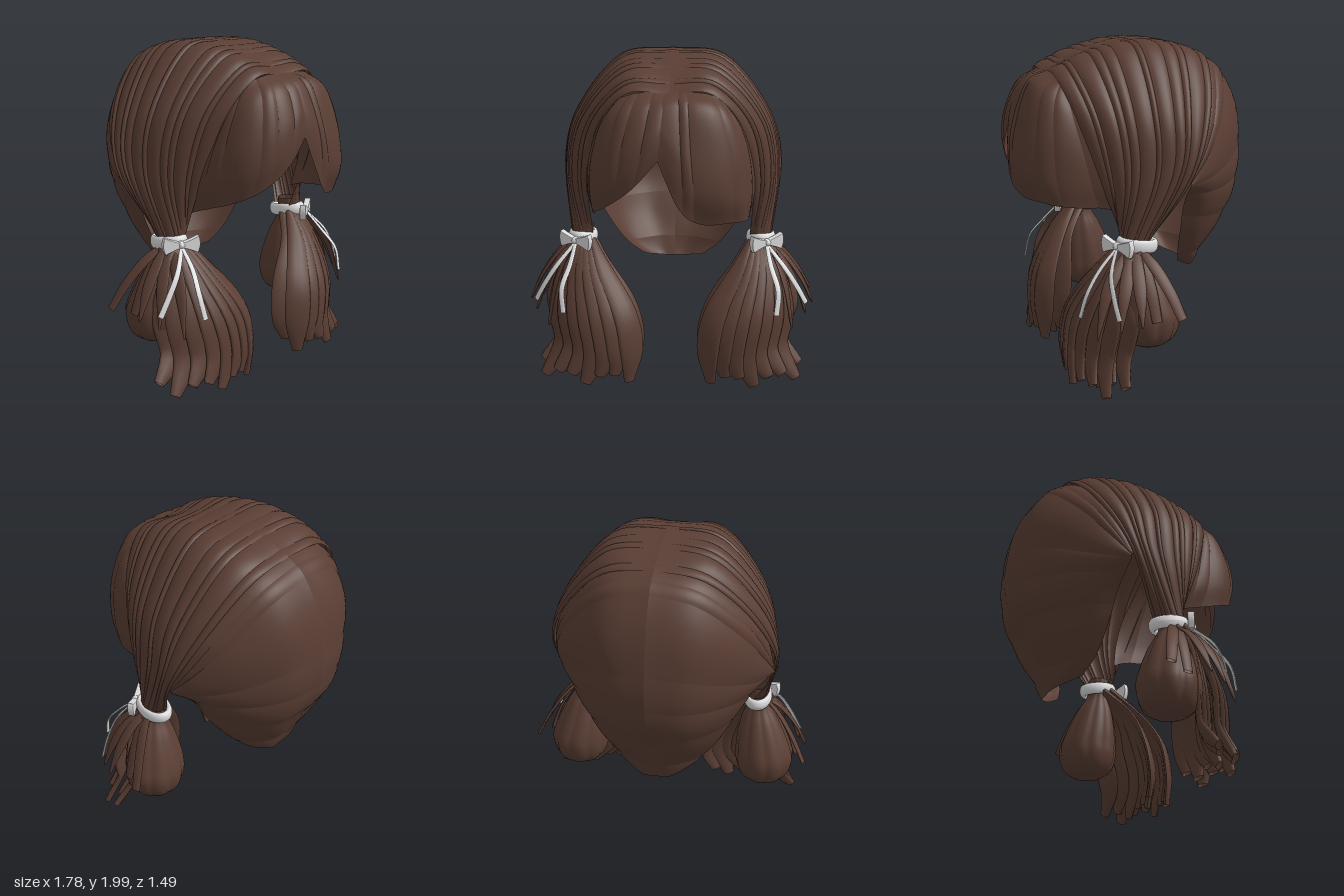
import * as THREE from 'three';

const V = (p) => new THREE.Vector3(...p);
const spline = (pts) => new THREE.CatmullRomCurve3(pts, false, 'catmullrom', 0.5);
const lerp = THREE.MathUtils.lerp;

// Grid geometry from rows of points
function gridGeometry(rows) {
  const m = rows[0].length, pos = [], idx = [];
  rows.forEach((r) => r.forEach((p) => pos.push(p.x, p.y, p.z)));
  for (let i = 0; i < rows.length - 1; i++) for (let j = 0; j < m - 1; j++) {
    const a = i * m + j, b = a + 1, c = a + m, d = c + 1;
    idx.push(a, b, c, b, d, c);
  }
  const g = new THREE.BufferGeometry();
  g.setAttribute('position', new THREE.Float32BufferAttribute(pos, 3));
  g.setIndex(idx);
  g.computeVertexNormals();
  return g;
}

// Combed sheet through key curves, divided into gently raised strands
function strands(keys, n, amp) {
  const columns = keys[0].map((_, j) => spline(keys.map((k) => V(k[j]))));
  const centre = new THREE.Vector3(0, 1.25, -0.05);
  const edge = (i) => (i <= 0 ? 0 : i >= n ? 1 : (i + 0.28 * Math.sin(i * 2.4)) / n);
  const out = [];
  for (let i = 0; i < n; i++) {
    const rows = [];
    for (let k = 0; k <= 6; k++) {
      const t = k / 6, u = lerp(edge(i), edge(i + 1), t);
      const curve = spline(columns.map((c) => c.getPoint(u)));
      rows.push(Array.from({ length: 29 }, (_, j) => {
        const v = j / 28, p = curve.getPoint(v);
        const lift = amp * Math.sin(Math.PI * t) ** 0.6 * (0.3 + 0.7 * Math.sin(Math.PI * v));
        return p.addScaledVector(p.clone().sub(centre).normalize(), lift);
      }));
    }
    out.push(gridGeometry(rows));
  }
  return out;
}

// Flattened lock along a path; widths run from root to tip, out is the flat side's direction
function lock(path, widths, thick, out) {
  const curve = spline(path.map(V)), w = spline(widths.map((x, i) => new THREE.Vector3(x, i, 0)));
  const rows = [], o = V(out), N = 18, M = 10;
  for (let i = 0; i <= N; i++) {
    const t = i / N, c = curve.getPoint(t), tan = curve.getTangent(t);
    const side = new THREE.Vector3().crossVectors(o, tan).normalize();
    const nor = new THREE.Vector3().crossVectors(tan, side);
    const half = Math.max(w.getPoint(t).x, 0.002), th = Math.min(thick, half);
    rows.push(Array.from({ length: M + 1 }, (_, j) => {
      const a = (j / M) * Math.PI * 2;
      return c.clone().addScaledVector(side, -Math.cos(a) * half).addScaledVector(nor, -Math.sin(a) * th);
    }));
  }
  return gridGeometry(rows);
}

function mirrored(geo) {
  const g = geo.clone().scale(-1, 1, 1);
  const ix = g.index.array;
  for (let i = 0; i < ix.length; i += 3) [ix[i], ix[i + 1]] = [ix[i + 1], ix[i]];
  g.computeVertexNormals();
  return g;
}

export function createModel() {
  const model = new THREE.Group();
  const hair = new THREE.MeshStandardMaterial({ color: 0x5a3e34, side: THREE.DoubleSide });
  hair.name = 'brown hair';
  const ribbon = new THREE.MeshStandardMaterial({ color: 0xdedede, side: THREE.DoubleSide });
  ribbon.name = 'white ribbon';
  const sides = [1, -1].map((s) => {
    const g = new THREE.Group();
    g.name = s > 0 ? 'leftHalf' : 'rightHalf';
    g.position.x = -0.02;
    model.add(g);
    return g;
  });
  const add = (parent, geo, mat, name) => {
    const m = new THREE.Mesh(geo, mat);
    m.name = name;
    parent.add(m);
  };
  const pair = (geo, mat, name) => {
    add(sides[0], geo, mat, name);
    add(sides[1], mirrored(geo), mat, name);
  };

  // Crown hair combed from the parting down to the tie
  const crown = [
    [[0, 1.80, .50], [.24, 1.80, .50], [.42, 1.59, .43], [.49, 1.25, .32], [.485, .87, .17]],
    [[0, 1.89, .33], [.27, 1.87, .34], [.51, 1.60, .28], [.58, 1.25, .23], [.52, .87, .20]],
    [[0, 1.96, .15], [.30, 1.92, .15], [.56, 1.60, .13], [.63, 1.25, .12], [.58, .87, .19]],
    [[0, 1.99, -.05], [.32, 1.94, -.05], [.59, 1.60, -.04], [.66, 1.25, -.02], [.62, .87, .12]],
    [[0, 1.97, -.25], [.32, 1.92, -.26], [.59, 1.60, -.20], [.68, 1.27, -.13], [.60, .87, .05]],
    [[0, 1.91, -.45], [.29, 1.86, -.44], [.55, 1.60, -.35], [.68, 1.24, -.19], [.54, .87, .01]],
  ];
  strands(crown, 12, 0.014).forEach((g) => pair(g, hair, 'crownStrand'));

  // Back of the head, tucked under the crown and tapering to the nape
  const back = [
    [[0, 1.92, -.34], [.28, 1.86, -.34], [.53, 1.60, -.25], [.62, 1.40, -.17], [.64, 1.20, -.11]],
    [[0, 1.90, -.46], [.28, 1.84, -.45], [.53, 1.60, -.36], [.63, 1.40, -.27], [.67, 1.21, -.17]],
    [[0, 1.82, -.58], [.26, 1.76, -.56], [.49, 1.55, -.45], [.61, 1.36, -.32], [.67, 1.20, -.18]],
    [[0, 1.60, -.69], [.25, 1.55, -.66], [.45, 1.42, -.53], [.59, 1.28, -.36], [.67, 1.19, -.18]],
    [[0, 1.30, -.74], [.23, 1.27, -.69], [.42, 1.22, -.55], [.56, 1.18, -.37], [.65, 1.17, -.18]],
    [[0, 1.05, -.71], [.22, 1.04, -.66], [.39, 1.04, -.53], [.50, 1.04, -.36], [.52, 1.05, -.20]],
    [[0, .85, -.60], [.18, .84, -.58], [.32, .84, -.48], [.41, .86, -.35], [.43, .88, -.22]],
    [[0, .68, -.52], [.12, .68, -.50], [.22, .68, -.44], [.30, .69, -.36], [.32, .71, -.25]],
    [[0, .53, -.45], [.07, .53, -.45], [.13, .545, -.42], [.18, .565, -.37], [.21, .60, -.30]],
  ];
  strands(back, 7, 0.008).forEach((g) => pair(g, hair, 'backStrand'));

  // Parted fringe: a full side and a swept side, both tucked under the crown
  const fullFringe = [
    [[-.07, 1.80, .49], [-.07, 1.76, .60], [-.07, 1.65, .67], [-.07, 1.55, .70], [-.08, 1.47, .71]],
    [[.02, 1.81, .49], [.02, 1.75, .61], [.03, 1.55, .70], [.04, 1.37, .73], [.04, 1.20, .73]],
    [[.10, 1.81, .49], [.12, 1.74, .62], [.14, 1.50, .70], [.16, 1.28, .73], [.16, 1.10, .69]],
    [[.20, 1.80, .49], [.25, 1.71, .60], [.30, 1.48, .66], [.32, 1.25, .68], [.32, 1.09, .63]],
    [[.27, 1.77, .47], [.35, 1.65, .53], [.41, 1.45, .55], [.43, 1.22, .54], [.43, 1.07, .50]],
    [[.29, 1.74, .44], [.39, 1.60, .43], [.45, 1.40, .38], [.47, 1.20, .33], [.45, 1.05, .28]],
    [[.29, 1.74, .37], [.40, 1.57, .33], [.47, 1.38, .26], [.49, 1.20, .22], [.46, 1.02, .19]],
  ];
  const sweptFringe = [
    [[-.33, 1.74, .37], [-.44, 1.57, .33], [-.51, 1.38, .26], [-.53, 1.20, .22], [-.49, 1.01, .19]],
    [[-.33, 1.74, .44], [-.43, 1.60, .43], [-.49, 1.40, .38], [-.51, 1.20, .33], [-.48, 1.04, .28]],
    [[-.30, 1.77, .47], [-.38, 1.65, .53], [-.44, 1.45, .55], [-.46, 1.27, .55], [-.46, 1.11, .50]],
    [[-.22, 1.80, .49], [-.27, 1.71, .60], [-.32, 1.52, .66], [-.35, 1.34, .67], [-.37, 1.18, .63]],
    [[-.12, 1.81, .49], [-.13, 1.74, .61], [-.16, 1.58, .69], [-.19, 1.43, .71], [-.22, 1.30, .70]],
    [[-.02, 1.80, .49], [-.03, 1.76, .60], [-.05, 1.65, .67], [-.06, 1.55, .70], [-.07, 1.47, .71]],
  ];
  strands(fullFringe, 6, 0.01).forEach((g) => add(model, g, hair, 'fullFringeStrand'));
  strands(sweptFringe, 6, 0.01).forEach((g) => add(model, g, hair, 'sweptFringeStrand'));

  // Rounded rear bundle of each pigtail, with shallow grooves
  const profile = [[0, .245], [.08, .255], [.155, .31], [.185, .42], [.165, .55], [.12, .69], [.07, .80], [.065, .92]];
  const smooth = new THREE.SplineCurve(profile.map((p) => new THREE.Vector2(...p))).getPoints(28);
  smooth.forEach((p) => { p.x = Math.max(p.x, 0); });
  const bundle = new THREE.LatheGeometry(smooth, 64);
  const bp = bundle.attributes.position;
  for (let i = 0; i < bp.count; i++) {
    const x = bp.getX(i), y = bp.getY(i), z = bp.getZ(i);
    const k = 0.94 + 0.08 * Math.abs(Math.sin(Math.atan2(z, x) * 4.5)) ** 0.6;
    const lean = THREE.MathUtils.clamp((0.85 - y) / 0.4, 0, 1);
    bp.setXYZ(i, x * k + 0.555 + 0.065 * lean, y, z * k + 0.11 - 0.05 * lean);
  }
  bundle.computeVertexNormals();
  pair(bundle, hair, 'pigtailBundle');

  // Front fan of locks in two layers, the outer ones set further back
  for (const layer of [0, 1]) for (let i = 0; i < 7; i++) {
    const a = i / 6, z = 0.46 - 0.12 * a + 0.08 * Math.sin(Math.PI * a) - 0.11 * layer;
    const tip = 0.015 + 0.06 * Math.abs(Math.sin(i * 2.1 + layer));
    pair(lock([
      [.50 + .11 * a, .85, .16 - .06 * layer],
      [lerp(.40, .65, a), .67, .16 + (z - .16) * .5],
      [lerp(.27, .69, a), .44, z - .03],
      [lerp(.23, .66, a), .22, z],
      [lerp(.25, .78, a) + layer * .02, tip, z - .01 + .04 * a],
    ], [.02, .06, .08, .08, .035], .02, [lerp(-.7, .5, a), .2, 1]), hair, 'pigtailLock');
  }
  // Thin loose locks arching outward
  [[.88, .47, -.05], [.82, .45, .08], [.88, .45, .19], [.83, .42, .30], [.74, .36, .41]].forEach(([x, y, z], i) => {
    pair(lock([
      [.58, .84, .12],
      [lerp(.58, x, .4), .75, lerp(.13, z, .4)],
      [lerp(.58, x, .75), .61, lerp(.13, z, .75)],
      [x, y, z],
    ], [.02, .035, .035, i < 2 ? .03 : .005], .01, [1, .4, z]), hair, 'looseLock');
  });

  // Ribbon band around the tie
  const band = new THREE.TorusGeometry(.1, .022, 12, 40);
  band.scale(.75, 1.05, 1.8).rotateX(Math.PI / 2 - 0.12).translate(.555, .845, .105);
  pair(band, ribbon, 'ribbonBand');

  // Bow loops, knot and trailing ends
  const place = (g) => g.rotateY(0.5).translate(.585, .85, .235);
  for (const s of [1, -1]) {
    const wing = new THREE.Shape();
    wing.moveTo(0, .010);
    wing.quadraticCurveTo(s * .05, .022, s * .10, .045);
    wing.quadraticCurveTo(s * .118, 0, s * .095, -.045);
    wing.quadraticCurveTo(s * .05, -.022, 0, -.010);
    const g = new THREE.ExtrudeGeometry(wing, { depth: .02, bevelSize: .005, bevelThickness: .01, bevelSegments: 3, curveSegments: 8 });
    g.translate(0, 0, -.01);
    g.setIndex(Array.from({ length: g.attributes.position.count }, (_, i) => i));
    pair(place(g), ribbon, 'bowLoop');
  }
  pair(place(new THREE.SphereGeometry(.024, 16, 12).scale(1, 1, 1.2)), ribbon, 'bowKnot');
  pair(lock([[.585, .84, .24], [.61, .73, .35], [.65, .61, .44], [.64, .47, .48]],
    [.012, .016, .017, .017], .006, [.3, .4, 1]), ribbon, 'ribbonEnd');
  pair(lock([[.585, .84, .24], [.69, .72, .31], [.77, .60, .32], [.83, .49, .31]],
    [.012, .016, .017, .017], .006, [.6, .4, 1]), ribbon, 'ribbonEnd');

  return model;
}
